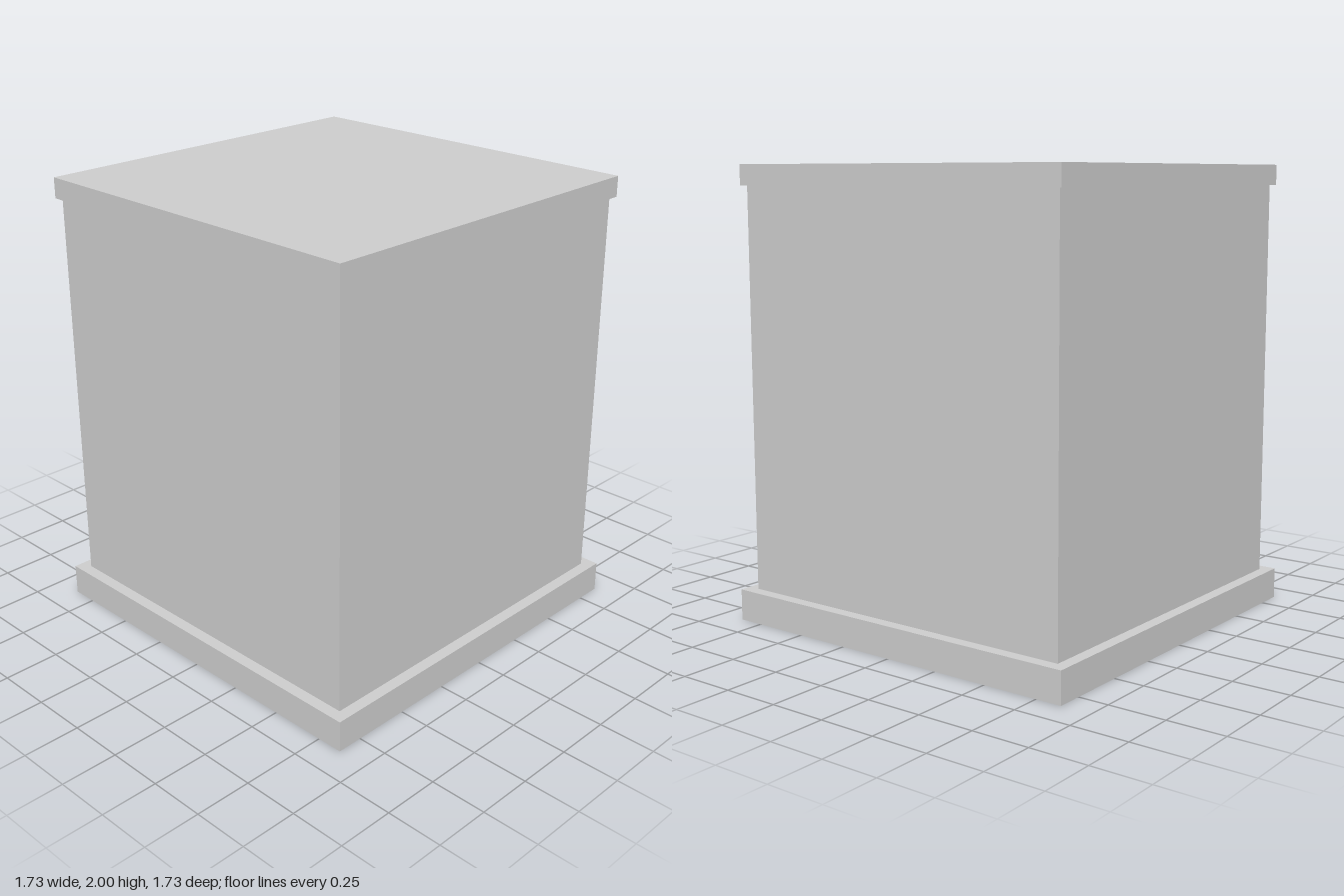
import * as THREE from 'three';

const material = new THREE.MeshStandardMaterial({ color: 0xcccccc, side: THREE.DoubleSide });

// Thin-walled square box; faces are listed in the order +x, -x, +y, -y, +z, -z
function shell(name, half, bottom, top, faces) {
  const geometry = new THREE.BoxGeometry(2 * half, top - bottom, 2 * half);
  const index = Array.from(geometry.index.array);
  geometry.setIndex(faces.flatMap((f) => index.slice(f * 6, f * 6 + 6)));
  geometry.clearGroups();
  geometry.translate(0, (bottom + top) / 2, 0);
  const mesh = new THREE.Mesh(geometry, material);
  mesh.name = name;
  return mesh;
}

export function createModel() {
  const walls = [0, 1, 4, 5];
  const wallsAndTop = [0, 1, 2, 4, 5];
  const group = new THREE.Group();
  group.name = 'pedestal';
  group.add(
    shell('base', 0.866, 0, 0.138, wallsAndTop), // hollow plinth, open underneath
    shell('body', 0.814, 0.138, 1.91, walls), // square column
    shell('cap', 0.835, 1.91, 2, wallsAndTop), // overhanging lid, open underneath
  );
  return group;
}
